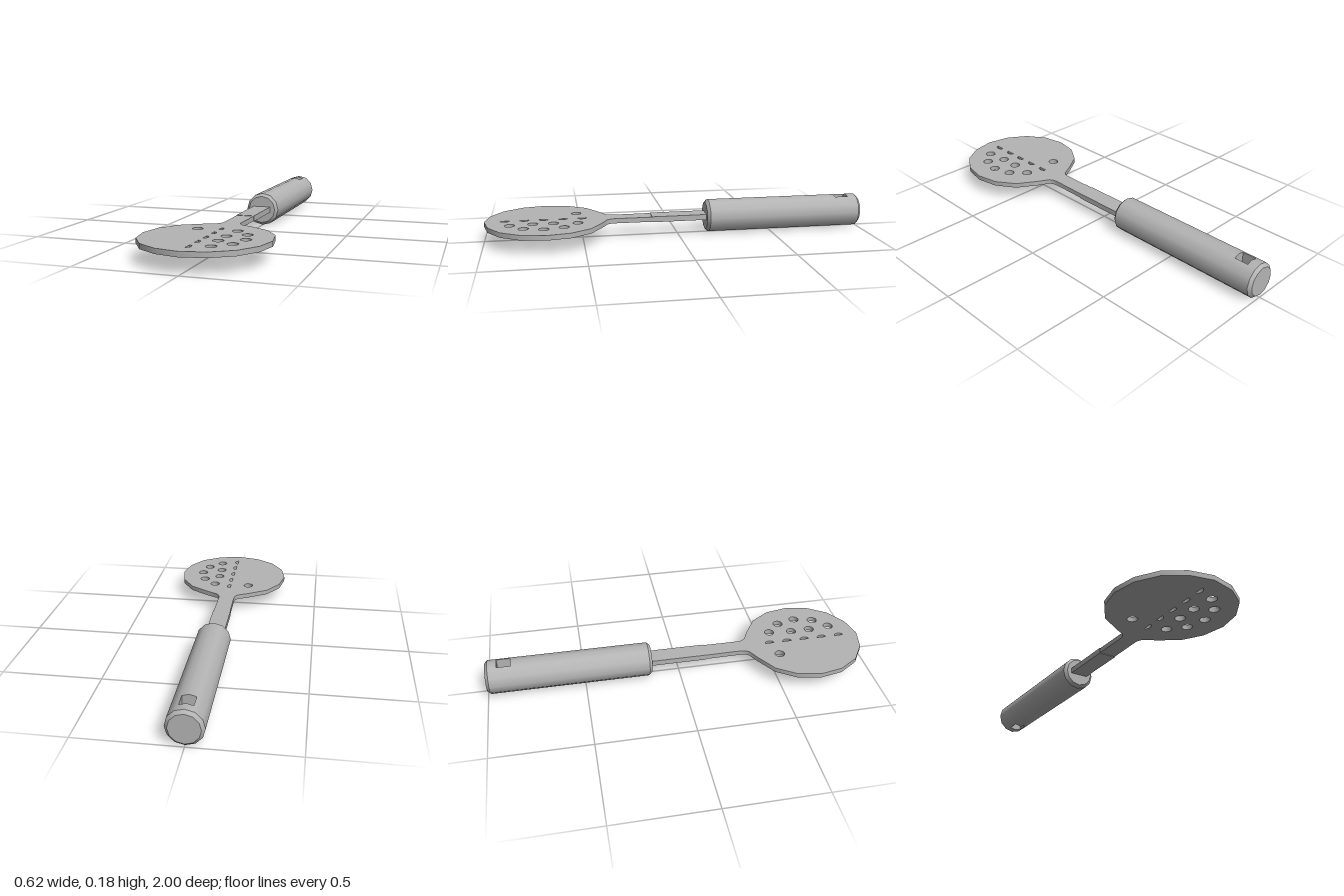
import * as THREE from 'three';
import { toCreasedNormals } from 'three/addons/utils/BufferGeometryUtils.js';

const R = 0.088;       // handle radius, also the height of its axis
const SLOT = 0.032;    // half width of the hanging slot
const SLOT_Z = [-0.939, -0.868];

// Point on the twelve-sided section; a = 0 is the top corner
function ringPoint(a, r, z) {
  const step = Math.PI / 6;
  const local = ((a % step) + step) % step;
  const d = r * Math.cos(step / 2) / Math.cos(local - step / 2);
  return new THREE.Vector3(d * Math.sin(a), d * Math.cos(a) + R, z);
}

function handleGeometry() {
  const pos = [], nor = [];
  const tri = (pts, normals) => pts.forEach((p, i) => {
    pos.push(p.x, p.y, p.z);
    nor.push(normals[i].x, normals[i].y, normals[i].z);
  });
  const quad = (p, n) => {
    tri([p[0], p[1], p[2]], [n[0], n[1], n[2]]);
    tri([p[0], p[2], p[3]], [n[0], n[2], n[3]]);
  };

  // Section corners plus the four corners of the slot
  const drop = R * (1 - Math.cos(Math.PI / 6));
  const cut = Math.atan2(SLOT, R - drop * SLOT / (R / 2));
  const angles = [cut, Math.PI - cut, Math.PI + cut, 2 * Math.PI - cut];
  for (let i = 0; i <= 12; i++) angles.push(i * Math.PI / 6);
  angles.sort((a, b) => a - b);

  // Bands along the handle: [z0, r0, z1, r1, normal tilt in z]
  const bands = [
    [-1, 0.073, -0.985, R, -1],
    [-0.985, R, SLOT_Z[0], R, 0],
    [SLOT_Z[0], R, SLOT_Z[1], R, 0],
    [SLOT_Z[1], R, -0.165, R, 0],
    [-0.165, R, -0.15, 0.073, 1],
  ];
  bands.forEach(([z0, r0, z1, r1, tilt], k) => {
    for (let i = 0; i < angles.length - 1; i++) {
      const a = angles[i], b = angles[i + 1];
      if (k === 2 && Math.abs(ringPoint((a + b) / 2, R, 0).x) < SLOT) continue;
      const na = new THREE.Vector3(Math.sin(a), Math.cos(a), tilt).normalize();
      const nb = new THREE.Vector3(Math.sin(b), Math.cos(b), tilt).normalize();
      quad([ringPoint(a, r0, z0), ringPoint(a, r1, z1), ringPoint(b, r1, z1), ringPoint(b, r0, z0)],
        [na, na, nb, nb]);
    }
  });

  // End caps
  for (const [z, s] of [[-1, -1], [-0.15, 1]]) {
    const n = new THREE.Vector3(0, 0, s), c = new THREE.Vector3(0, R, z);
    for (let i = 0; i < 12; i++) {
      const a = ringPoint(i * Math.PI / 6, 0.073, z);
      const b = ringPoint((i + 1) * Math.PI / 6, 0.073, z);
      tri(s > 0 ? [c, b, a] : [c, a, b], [n, n, n]);
    }
  }

  // Slot walls: sides, then ends (each end is two halves meeting at x = 0)
  const h = ringPoint(cut, R, 0).y - R;
  const v = (x, y, z) => new THREE.Vector3(x, R + y, z);
  const [zA, zB] = SLOT_Z;
  for (const s of [-1, 1]) {
    const x = s * SLOT, n = new THREE.Vector3(-s, 0, 0);
    const side = [v(x, -h, zA), v(x, -h, zB), v(x, h, zB), v(x, h, zA)];
    quad(s > 0 ? side : side.reverse(), [n, n, n, n]);
    for (const [z, f] of [[zA, 1], [zB, -1]]) {
      const m = new THREE.Vector3(0, 0, f);
      const end = [v(0, -R, z), v(x, -h, z), v(x, h, z), v(0, R, z)];
      quad(s * f > 0 ? end : end.reverse(), [m, m, m, m]);
    }
  }

  const geo = new THREE.BufferGeometry();
  geo.setAttribute('position', new THREE.Float32BufferAttribute(pos, 3));
  geo.setAttribute('normal', new THREE.Float32BufferAttribute(nor, 3));
  return geo;
}

function bladeGeometry() {
  // Right half of the outline (x, z), mirrored for the left
  const half = [[0.045, 0.14], [0.043, 0.335], [0.048, 0.358], [0.06, 0.375], [0.118, 0.405], [0.22, 0.469],
    [0.286, 0.568], [0.309, 0.688], [0.286, 0.806], [0.219, 0.907], [0.118, 0.972]];
  const outline = [...half, [0, 0.997], ...half.map(([x, z]) => [-x, z]).reverse()];
  const shape = new THREE.Shape(outline.map(([x, z]) => new THREE.Vector2(x, z)));

  // Round holes
  const holes = [[-0.105, 0.527], [0.093, 0.527], [0.164, 0.597], [0.082, 0.649], [0.19, 0.698],
    [0.082, 0.752], [0.164, 0.797], [0.093, 0.866]];
  const arc = (x, z, rx, rz, from, sweep, n) => {
    const pts = [];
    for (let i = 0; i < n; i++) {
      const a = from + sweep * i / (sweep < 6 ? n - 1 : n);
      pts.push(new THREE.Vector2(x + rx * Math.cos(a), z + rz * Math.sin(a)));
    }
    shape.holes.push(new THREE.Path(pts));
  };
  holes.forEach(([x, z]) => arc(x, z, 0.026, 0.026, 0, Math.PI * 2, 12));

  // Half holes along the middle
  for (let i = 0; i < 5; i++) arc(-0.003, 0.502 + i * 0.098, 0.019, 0.025, -Math.PI / 2, Math.PI, 7);

  const geo = new THREE.ExtrudeGeometry(shape, { depth: 0.025, bevelEnabled: false });
  geo.rotateX(Math.PI / 2);
  geo.translate(0, 0.102, 0);
  return toCreasedNormals(geo, 0.65);
}

export function createModel() {
  const group = new THREE.Group();
  const steel = new THREE.MeshStandardMaterial({ color: 0xb4b4b4 });
  steel.name = 'grey steel';
  const add = (name, geo) => {
    const mesh = new THREE.Mesh(geo, steel);
    mesh.name = name;
    group.add(mesh);
    return mesh;
  };
  add('handle', handleGeometry());
  add('blade', bladeGeometry());
  add('neck', new THREE.BoxGeometry(0.094, 0.029, 0.3)).position.set(0, 0.0895, -0.01);
  return group;
}
